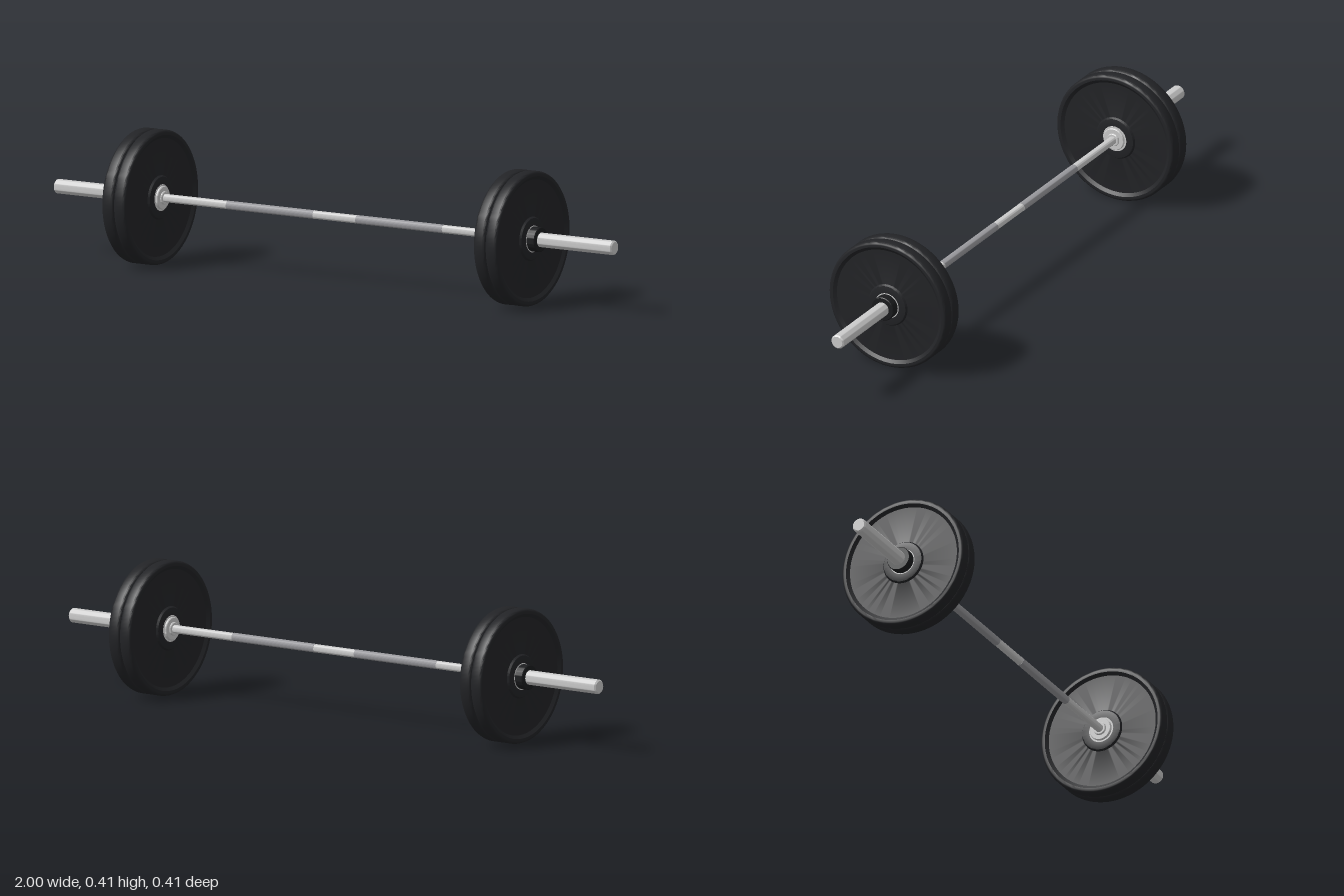
import * as THREE from 'three';
import { toCreasedNormals } from 'three/addons/utils/BufferGeometryUtils.js';

const AXIS = 0.204; // height of the bar's axis

const mat = (color) => new THREE.MeshStandardMaterial({ color });
const steel = mat(0xcccccc);
const knurled = mat(0x9a9a9e);
const rubber = mat(0x222326);
const black = mat(0x1a1b1d);

// Solid of revolution about the x axis from [radius, x] points, listed along +x on the outside
function turned(name, points, material, segments = 48) {
  const profile = points.map(([r, x]) => new THREE.Vector2(r, x));
  const geometry = toCreasedNormals(new THREE.LatheGeometry(profile, segments), 0.6);
  geometry.rotateZ(-Math.PI / 2);
  const mesh = new THREE.Mesh(geometry, material);
  mesh.name = name;
  return mesh;
}

// Plain rod between two x positions
const rod = (name, r, x0, x1, material) =>
  turned(name, [[0, x0], [r, x0], [r, x1], [0, x1]], material);

// Ring with a bore and small chamfers
function ring(name, bore, r, x0, x1, c, material) {
  return turned(name, [
    [bore, x0], [r - c, x0], [r, x0 + c], [r, x1 - c], [r - c, x1], [bore, x1], [bore, x0],
  ], material, 64);
}

// Weight plate: rounded rim, dished face and raised hub, the same on both faces
function plate(x, width) {
  const h = width / 2;
  const outerFace = [
    [0.204, h - 0.008], [0.2025, h - 0.004], [0.1995, h - 0.001], [0.196, h],
    [0.189, h], [0.179, h - 0.007],
    [0.067, h - 0.007], [0.063, h - 0.001], [0.06, h], [0.04, h],
  ];
  const innerFace = outerFace.map(([r, y]) => [r, -y]).reverse();
  const group = new THREE.Group();
  group.name = 'weightPlate';
  group.add(
    turned('plateBody', [...innerFace, ...outerFace], rubber, 96),
    ring('plateBushing', 0.022, 0.041, -h - 0.0005, h + 0.0005, 0.001, steel),
  );
  group.position.x = x;
  return group;
}

// One loaded end of the bar, built towards +x
function loadedEnd(name) {
  const end = new THREE.Group();
  end.name = name;
  end.add(
    turned('sleeve', [
      [0, 0.62], [0.022, 0.62], [0.022, 0.996], [0.018, 1], [0, 1],
    ], steel),
    // Stepped stop flange on the inner side of the plates
    turned('sleeveFlange', [
      [0.0125, 0.612], [0.018, 0.612], [0.02, 0.614], [0.02, 0.617],
      [0.033, 0.617], [0.035, 0.619], [0.035, 0.626], [0.0125, 0.626],
    ], steel),
    plate(0.645, 0.041),
    plate(0.687, 0.041),
    ring('lockCollar', 0.0218, 0.0375, 0.706, 0.735, 0.002, black),
  );
  return end;
}

export function createModel() {
  const model = new THREE.Group();
  model.name = 'barbell';

  const bar = new THREE.Group();
  bar.name = 'bar';
  bar.add(rod('shaft', 0.0125, -0.63, 0.63, steel));
  for (const side of [-1, 1]) {
    const grip = rod('knurledGrip', 0.0131, -0.155, 0.155, knurled);
    grip.position.x = side * 0.232;
    bar.add(grip);
  }

  const left = loadedEnd('leftEnd');
  const right = loadedEnd('rightEnd');
  right.rotation.y = Math.PI;

  model.add(bar, left, right);
  for (const part of model.children) part.position.y = AXIS;
  return model;
}
